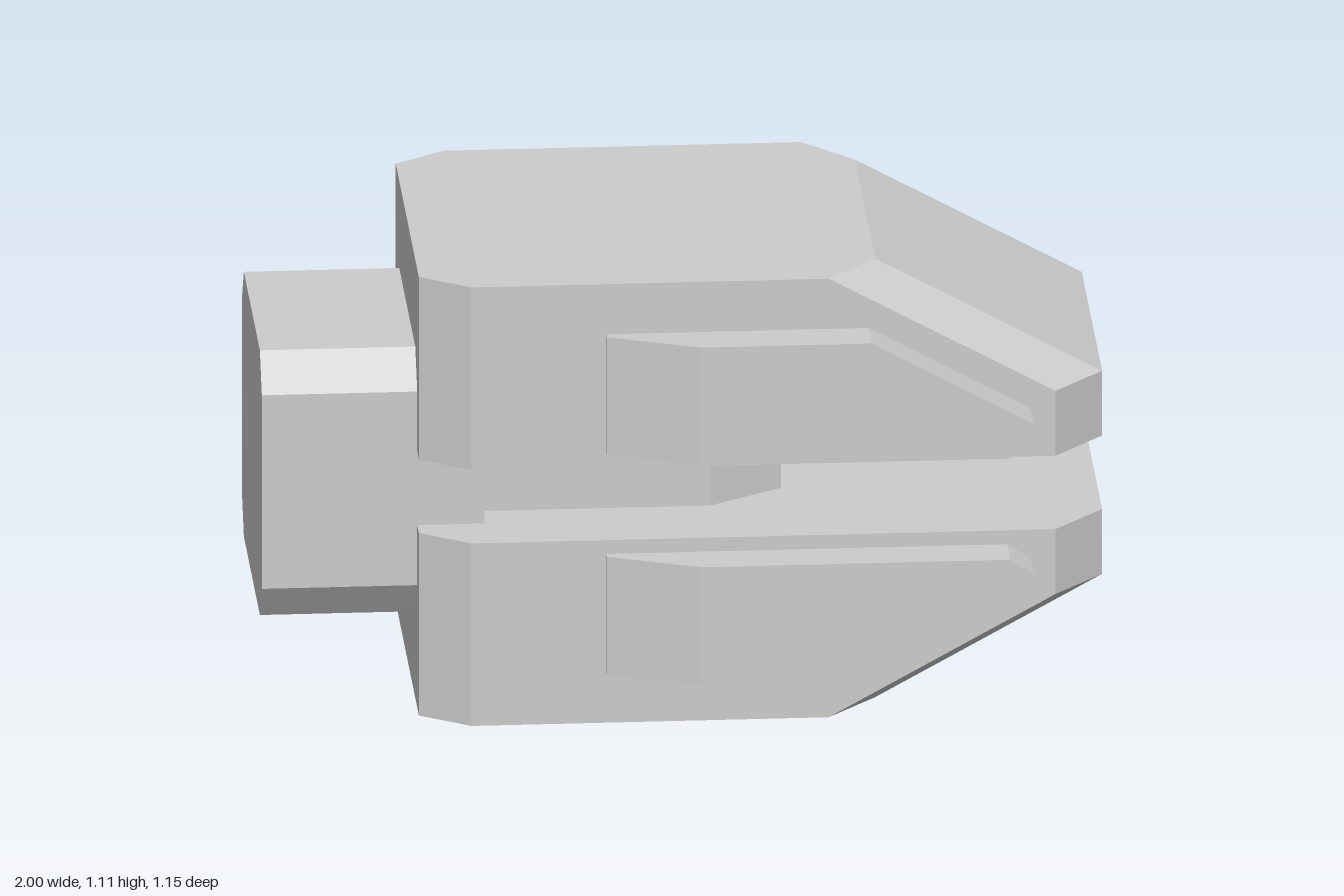
import * as THREE from 'three';
import { ConvexGeometry } from 'three/addons/geometries/ConvexGeometry.js';

const HEIGHT = 1.11;
const material = new THREE.MeshStandardMaterial({ color: 0xcccccc, flatShading: true });

// Convex solid from corners; each [x, y, z] is mirrored to -z when asked
function solid(name, corners, mirrorZ = true) {
  const points = corners.flatMap(([x, y, z]) => mirrorZ
    ? [new THREE.Vector3(x, y, z), new THREE.Vector3(x, y, -z)]
    : [new THREE.Vector3(x, y, z)]);
  const mesh = new THREE.Mesh(new ConvexGeometry(points), material);
  mesh.name = name;
  return mesh;
}

// Wedge-nosed shell; flip turns the upper half into the lower half
function jaw(name, flip) {
  const outline = [[-0.63, 0.39], [-0.51, 0.47], [0.88, 0.47], [1, 0.34]];
  const roof = [[-0.63, 0.39], [-0.51, 0.47], [0.34, 0.47], [0.46, 0.34]];
  const corners = [
    ...outline.map(([x, z]) => [x, 0.648, z]),
    ...roof.map(([x, z]) => [x, HEIGHT, z]),
    ...outline.slice(2).map(([x, z]) => [x, 0.812, z]),
  ];
  return solid(name, corners.map(([x, y, z]) => [x, flip ? HEIGHT - y : y, z]));
}

// Raised side plate that tapers into the shell at its rear
function sidePlate(name, flip, side) {
  const profile = [
    [-0.19, 0.683, 0.49], [0.03, 0.683, 0.577], [0.765, 0.683, 0.577], [0.82, 0.72, 0.577],
    [0.82, 0.77, 0.577], [0.435, 0.983, 0.577], [0.03, 0.983, 0.577], [-0.19, 0.983, 0.49],
  ];
  const corners = profile.flatMap(([x, y, z]) => {
    const h = flip ? HEIGHT - y : y;
    return [[x, h, side * z], [x, h, side * 0.44]];
  });
  return solid(name, corners, false);
}

export function createModel() {
  const model = new THREE.Group();
  model.name = 'clampHead';

  // Upper and lower halves with their plates
  for (const [half, flip] of [['upper', false], ['lower', true]]) {
    const group = new THREE.Group();
    group.name = half + 'Half';
    group.add(jaw(half + 'Jaw', flip));
    group.add(sidePlate(half + 'FrontPlate', flip, 1));
    group.add(sidePlate(half + 'BackPlate', flip, -1));
    model.add(group);
  }

  // Chamfered mounting block at the -x end
  const section = [[0.22, 0.27], [0.31, 0.335], [0.8, 0.335], [0.89, 0.27]];
  model.add(solid('mountBlock', [-1, -0.47].flatMap(x => section.map(([y, z]) => [x, y, z]))));

  // Core joining the halves inside the gap
  const core = [[-0.55, 0.25], [0.075, 0.25], [0.25, 0.14]];
  model.add(solid('core', [0.42, 0.69].flatMap(y => core.map(([x, z]) => [x, y, z]))));

  return model;
}
